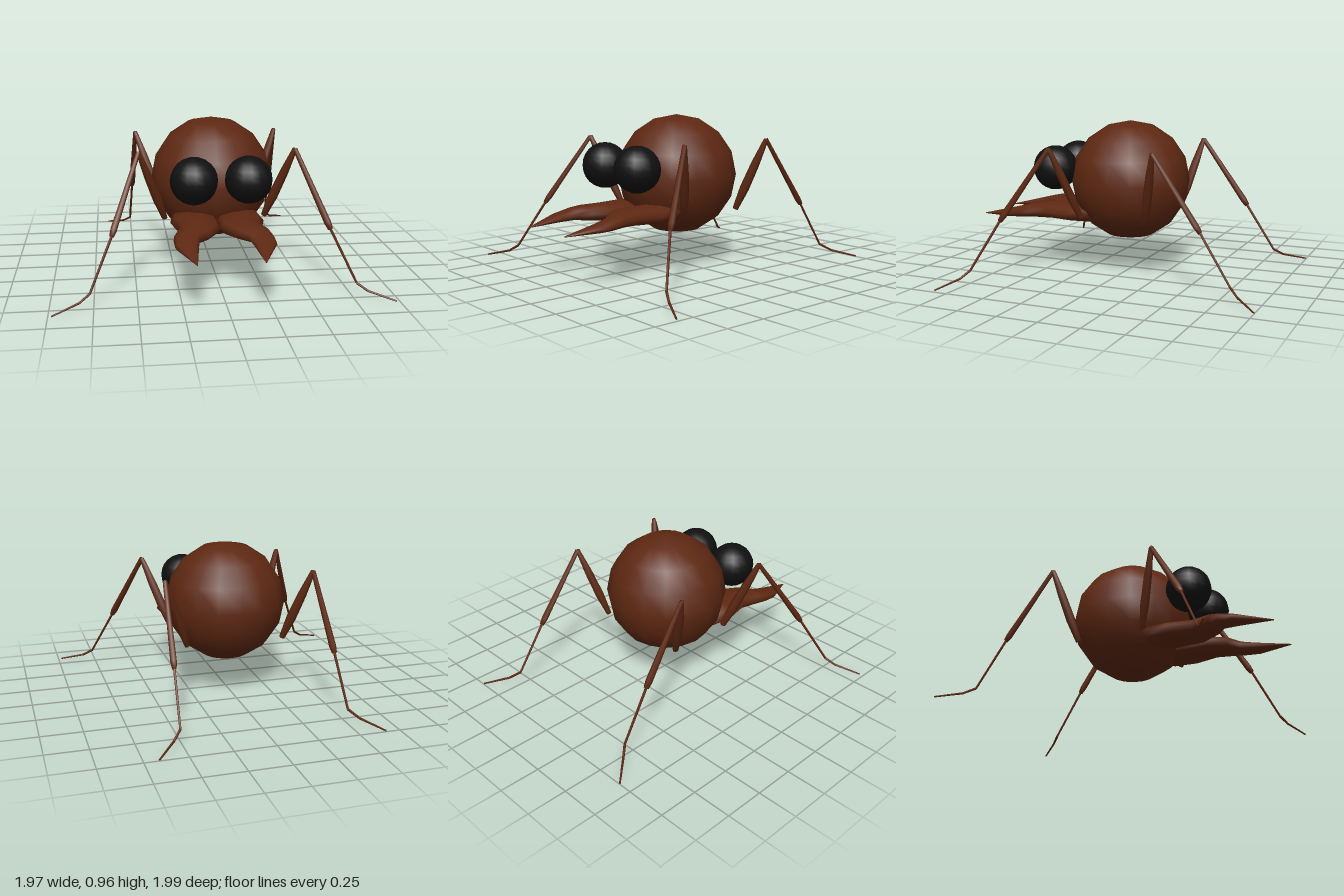
import * as THREE from 'three';

const brown = new THREE.MeshStandardMaterial({ color: 0x5e2812 });
brown.name = 'chestnut brown';
const black = new THREE.MeshStandardMaterial({ color: 0x101010 });
black.name = 'eye black';

const V = (p, side) => new THREE.Vector3(p[0] * side, p[1], p[2]);

function ball(name, r, x, y, z, material, w, h) {
  const mesh = new THREE.Mesh(new THREE.SphereGeometry(r, w, h), material);
  mesh.position.set(x, y, z);
  mesh.name = name;
  return mesh;
}

// Tapered limb segment from a to b; profile holds [fraction of length, radius]
function limb(name, a, b, profile) {
  const length = a.distanceTo(b);
  const pts = profile.map(([t, r]) => new THREE.Vector2(r, t * length));
  const mesh = new THREE.Mesh(new THREE.LatheGeometry(pts, 6), brown);
  mesh.position.copy(a);
  mesh.quaternion.setFromUnitVectors(new THREE.Vector3(0, 1, 0), b.clone().sub(a).normalize());
  mesh.name = name;
  return mesh;
}

const thigh = [[0, 0], [0, 0.018], [0.3, 0.03], [0.65, 0.027], [1, 0.015], [1.015, 0]];
const shin = [[0, 0], [0, 0.014], [0.4, 0.017], [0.92, 0.021], [1, 0.015], [1, 0]];
const thin = [[0, 0], [0, 0.008], [1, 0.007], [1, 0]];
const toe = [[0, 0], [0, 0.007], [1, 0.005], [1, 0]];

// Joints run hip, knee, mid joint, ankle, foot, tip
function leg(name, joints, side) {
  const group = new THREE.Group();
  group.name = name;
  const p = joints.map((j) => V(j, side));
  [['thigh', thigh], ['shin', shin], ['lowerLeg', thin], ['ankle', thin], ['foot', toe]]
    .forEach(([part, profile], i) => group.add(limb(part, p[i], p[i + 1], profile)));
  return group;
}

// Jaw lofted from elliptical sections: [x, y, z, half width, half height]
function jaw(name, side) {
  const sections = [
    [0.13, 0.375, 0.2, 0.14, 0.055],
    [0.14, 0.375, 0.35, 0.145, 0.056],
    [0.125, 0.376, 0.5, 0.125, 0.054],
    [0.175, 0.375, 0.62, 0.108, 0.046],
    [0.215, 0.368, 0.68, 0.076, 0.038],
    [0.222, 0.355, 0.77, 0.067, 0.028],
    [0.187, 0.325, 0.99, 0.003, 0.003],
  ];
  const n = 10;
  const pos = [];
  const index = [];
  sections.forEach(([x, y, z, w, h], i) => {
    for (let j = 0; j < n; j++) {
      const a = (j / n) * Math.PI * 2;
      pos.push(x * side + w * Math.cos(a), y + h * Math.sin(a), z);
      if (i === sections.length - 1) continue;
      const k = (j + 1) % n;
      const p = i * n + j, q = i * n + k;
      index.push(p, q, p + n, q, q + n, p + n);
    }
  });
  // Close the root and the tip
  const last = (sections.length - 1) * n;
  for (let j = 1; j < n - 1; j++) {
    index.push(0, j + 1, j, last, last + j, last + j + 1);
  }
  const geo = new THREE.BufferGeometry();
  geo.setAttribute('position', new THREE.Float32BufferAttribute(pos, 3));
  geo.setIndex(index);
  geo.computeVertexNormals();
  const mesh = new THREE.Mesh(geo, brown);
  mesh.name = name;
  return mesh;
}

export function createModel() {
  const model = new THREE.Group();
  model.name = 'spider';

  // Body and eyes
  model.add(ball('body', 0.38, 0, 0.585, 0.01, brown, 16, 8));
  model.add(ball('rightEye', 0.142, -0.152, 0.66, 0.462, black, 16, 12));
  model.add(ball('leftEye', 0.142, 0.172, 0.66, 0.462, black, 16, 12));

  // Jaws and legs, mirrored
  const front = [
    [0.31, 0.37, 0.215], [0.47, 0.815, 0.35], [0.64, 0.38, 0.6],
    [0.77, 0.09, 0.735], [0.83, 0.05, 0.768], [0.98, 0.01, 0.845],
  ];
  const back = [
    [0.31, 0.37, -0.215], [0.467, 0.815, -0.325], [0.49, 0.38, -0.63],
    [0.505, 0.09, -0.815], [0.555, 0.05, -0.873], [0.665, 0.01, -0.998],
  ];
  for (const side of [-1, 1]) {
    const s = side > 0 ? 'left' : 'right';
    model.add(jaw(s + 'Jaw', side));
    model.add(leg(s + 'FrontLeg', front, side));
    model.add(leg(s + 'BackLeg', back, side));
  }
  return model;
}
